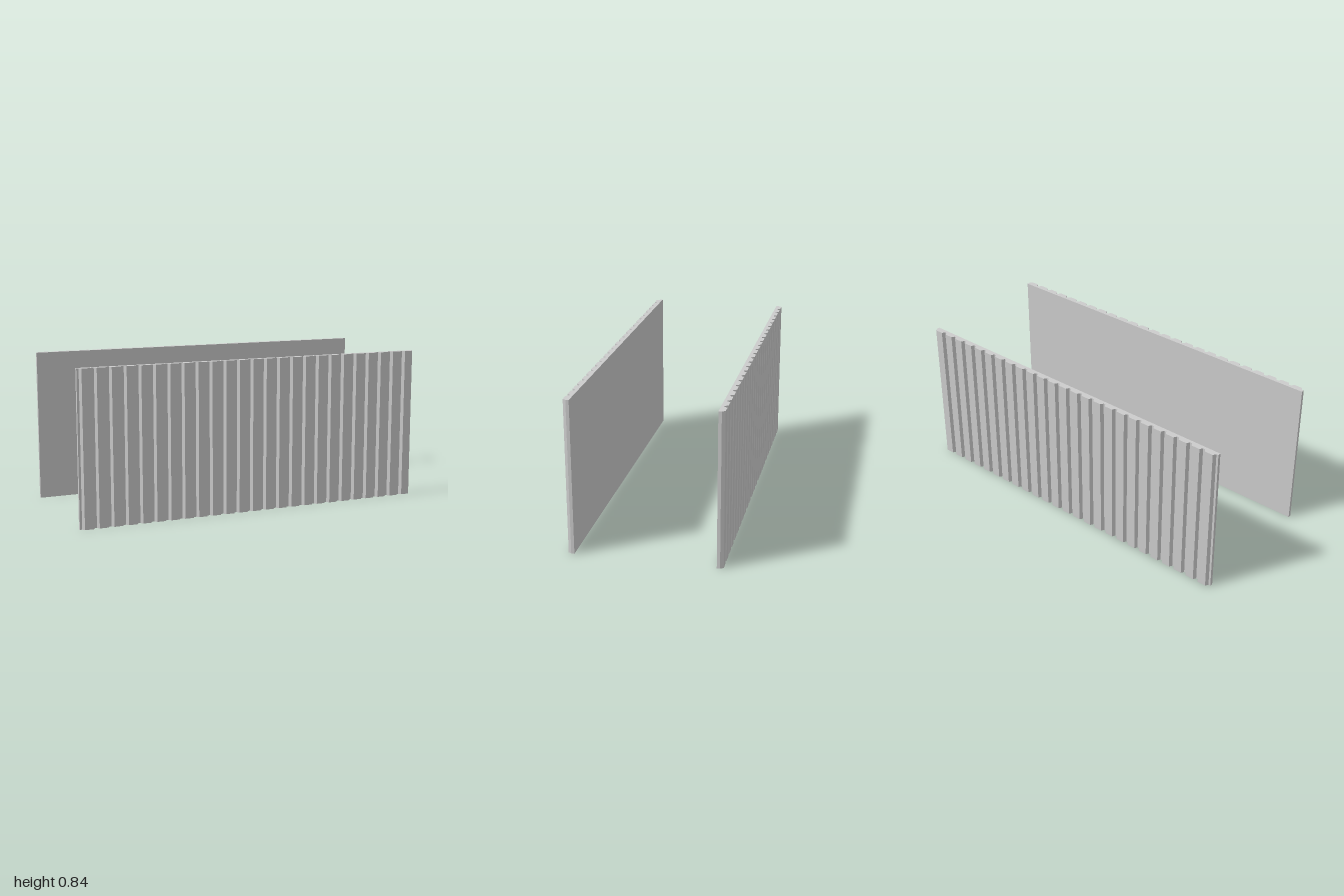
import * as THREE from 'three';

const RIBS = 25, LENGTH = 2, HEIGHT = 0.84;
const INNER = 0.373, FLOOR = 0.39, OUTER = 0.407;
const GAP = 0.012, SLOPE = 0.01; // groove floor width, rib side width

// Panel cross-section: flat inside, trapezoid ribs outside. side = 1 front, -1 back
function panelGeometry(side) {
  const pitch = LENGTH / RIBS;
  const shape = new THREE.Shape();
  // shape y becomes -z once the extrusion is stood upright
  const y = (z) => -side * z;
  shape.moveTo(-1, y(INNER));
  for (let i = 0; i < RIBS; i++) {
    const x = -1 + i * pitch;
    shape.lineTo(x, y(FLOOR));
    shape.lineTo(x + GAP, y(FLOOR));
    shape.lineTo(x + GAP + SLOPE, y(OUTER));
    shape.lineTo(x + pitch - SLOPE, y(OUTER));
  }
  shape.lineTo(1, y(FLOOR));
  shape.lineTo(1, y(INNER));
  shape.closePath();
  const geometry = new THREE.ExtrudeGeometry(shape, { depth: HEIGHT, bevelEnabled: false });
  return geometry.rotateX(-Math.PI / 2);
}

export function createModel() {
  const group = new THREE.Group();
  group.name = 'ribbedWallPanels';
  const material = new THREE.MeshStandardMaterial({ color: 0xcccccc, flatShading: true });

  // Two upright panels with their ribs facing outwards
  for (const [name, side] of [['frontPanel', 1], ['backPanel', -1]]) {
    const panel = new THREE.Mesh(panelGeometry(side), material);
    panel.name = name;
    group.add(panel);
  }
  return group;
}
